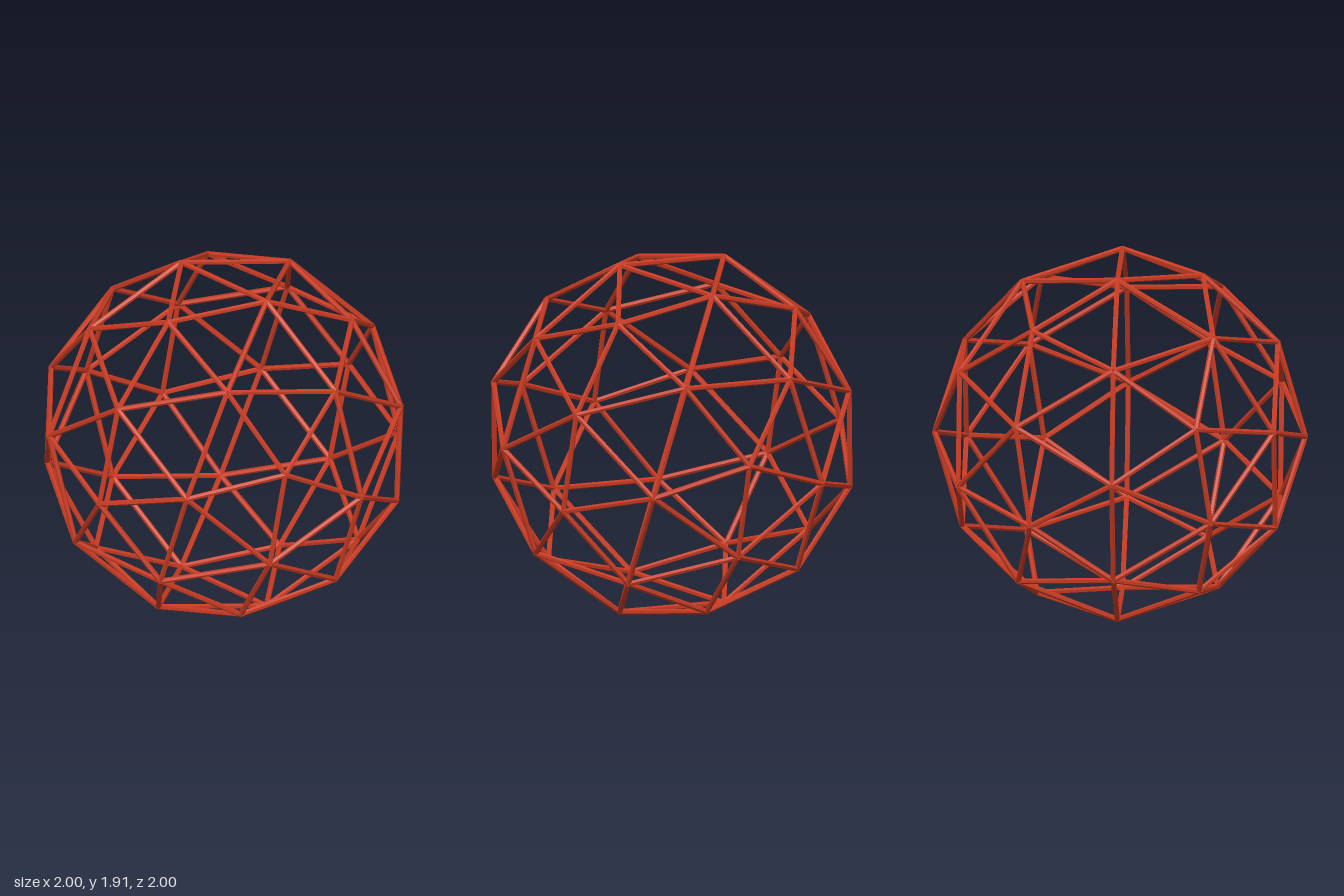
import * as THREE from 'three';

const R = 0.986;   // node sphere radius
const r = 0.015;   // strut radius
const UP = new THREE.Vector3(0, 1, 0);

// A ring of nodes around the x axis; angles are measured from straight up.
function ring(x, radius, count, startDeg) {
  return Array.from({ length: count }, (_, i) => {
    const a = THREE.MathUtils.degToRad(startDeg) + (i * 2 * Math.PI) / count;
    return new THREE.Vector3(x, radius * Math.cos(a), radius * Math.sin(a)).multiplyScalar(R);
  });
}

// Nodes of a two-frequency geodesic sphere with its poles on the x axis
function createNodes() {
  const nodes = ring(0, 1, 10, 18);
  for (const side of [-1, 1]) {
    const start = side < 0 ? 0 : 180;
    nodes.push(
      new THREE.Vector3(side * R, 0, 0),
      ...ring(side * 0.8507, 0.5257, 5, start),
      ...ring(side * 0.5257, 0.8507, 5, start + 36),
      ...ring(side * 0.4472, 0.8944, 5, start)
    );
  }
  return nodes;
}

export function createModel() {
  const model = new THREE.Group();
  model.name = 'geodesicSphere';
  const material = new THREE.MeshStandardMaterial({ color: 0xc63a22, flatShading: true });
  const nodes = createNodes();

  // A hexagonal strut joins every pair of neighbouring nodes
  nodes.forEach((a, i) => {
    for (const b of nodes.slice(i + 1)) {
      const length = a.distanceTo(b);
      if (length > 0.7 * R) continue;
      const strut = new THREE.Mesh(new THREE.CylinderGeometry(r, r, length, 6), material);
      strut.name = 'strut';
      strut.position.addVectors(a, b).multiplyScalar(0.5);
      strut.quaternion.setFromUnitVectors(UP, b.clone().sub(a).normalize());
      model.add(strut);
    }
  });

  // Stand the sphere on the ground
  model.position.y = R * Math.cos(Math.PI / 10) + r;
  return model;
}
